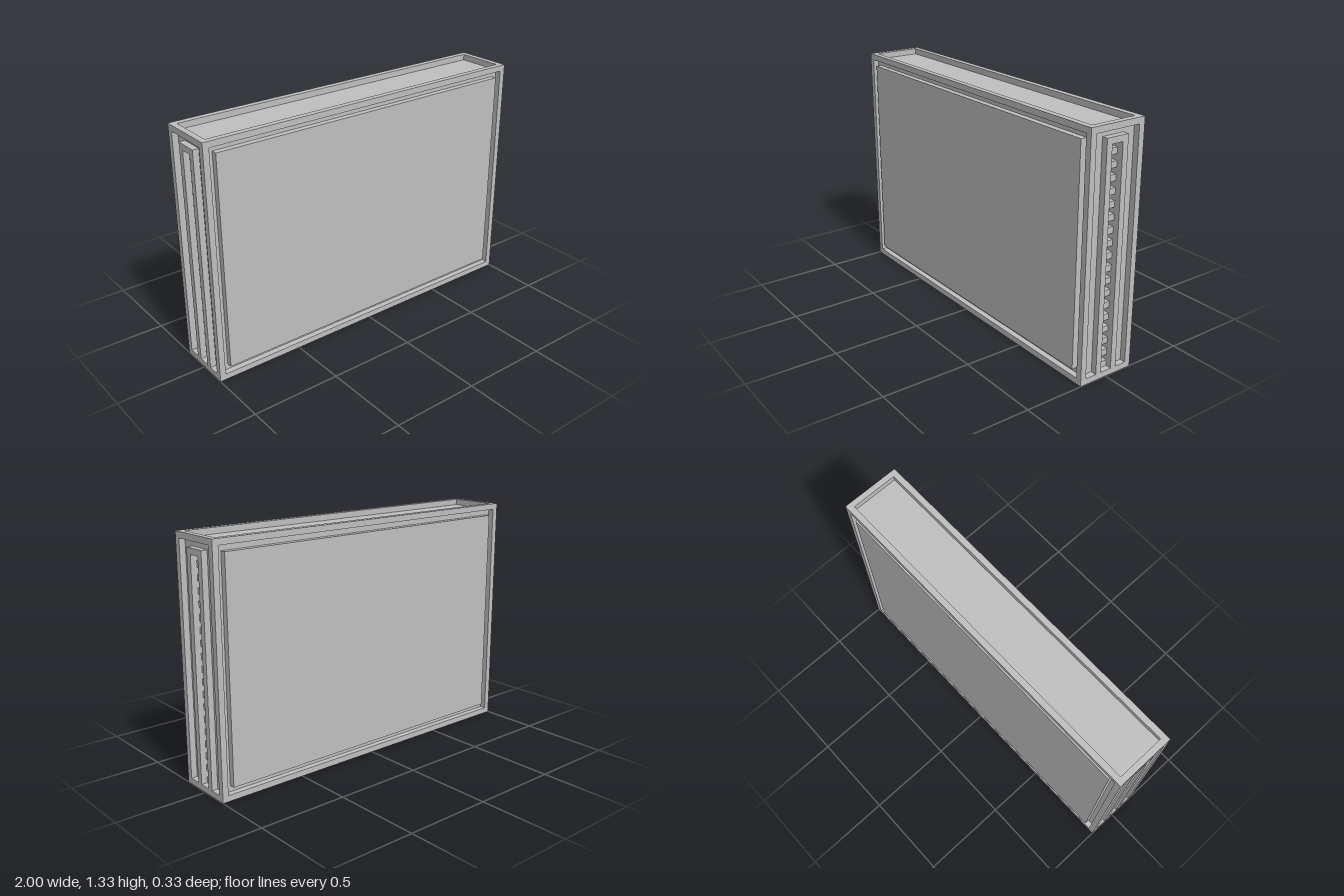
import * as THREE from 'three';

const U = 1 / 30; // module: every bar, groove and slat is one unit thick

export function createModel() {
  const model = new THREE.Group();
  model.name = 'ventedCabinet';
  const grey = new THREE.MeshStandardMaterial({ color: 0xc0c0c0 });
  grey.name = 'plainGrey';

  // box between two corners, given in units
  function block(parent, name, x0, x1, y0, y1, z0, z1) {
    const mesh = new THREE.Mesh(
      new THREE.BoxGeometry((x1 - x0) * U, (y1 - y0) * U, (z1 - z0) * U), grey);
    mesh.position.set((x0 + x1) / 2 * U, (y0 + y1) / 2 * U, (z0 + z1) / 2 * U);
    mesh.name = name;
    parent.add(mesh);
  }

  // solid base and inner body
  block(model, 'base', -30, 30, 0, 1, -5, 5);
  block(model, 'body', -28, 28, 1, 39, -4, 4);

  // each half is the other turned half way round
  for (const turn of [0, Math.PI]) {
    const half = new THREE.Group();
    half.name = turn ? 'backLeftHalf' : 'frontRightHalf';
    half.rotation.y = turn;
    model.add(half);

    // outer frame
    block(half, 'rightPost', 29, 30, 1, 39, 4, 5);
    block(half, 'leftPost', -30, -29, 1, 39, 4, 5);
    block(half, 'topRail', -30, 30, 39, 40, 4, 5);
    block(half, 'endRail', 29, 30, 39, 40, -4, 4);

    // large raised panel
    block(half, 'panel', -28, 28, 2, 38, 4, 5);

    // end wall around the vent
    for (const z of [-4, 1]) block(half, 'endWall', 28, 29, 1, 39, z, z + 3);
    block(half, 'endWallTop', 28, 29, 37, 39, -1, 1);

    // raised surround of the vent
    for (const z of [-2, 1]) block(half, 'ventSide', 29, 30, 1, 38, z, z + 1);
    block(half, 'ventLintel', 29, 30, 37, 38, -1, 1);

    // vent slats
    for (let y = 1; y < 37; y += 2) block(half, 'slat', 28, 29, y, y + 1, -1, 1);

    // border behind the panel's side grooves
    // (front faces of the end walls close the grooves)
  }
  return model;
}
